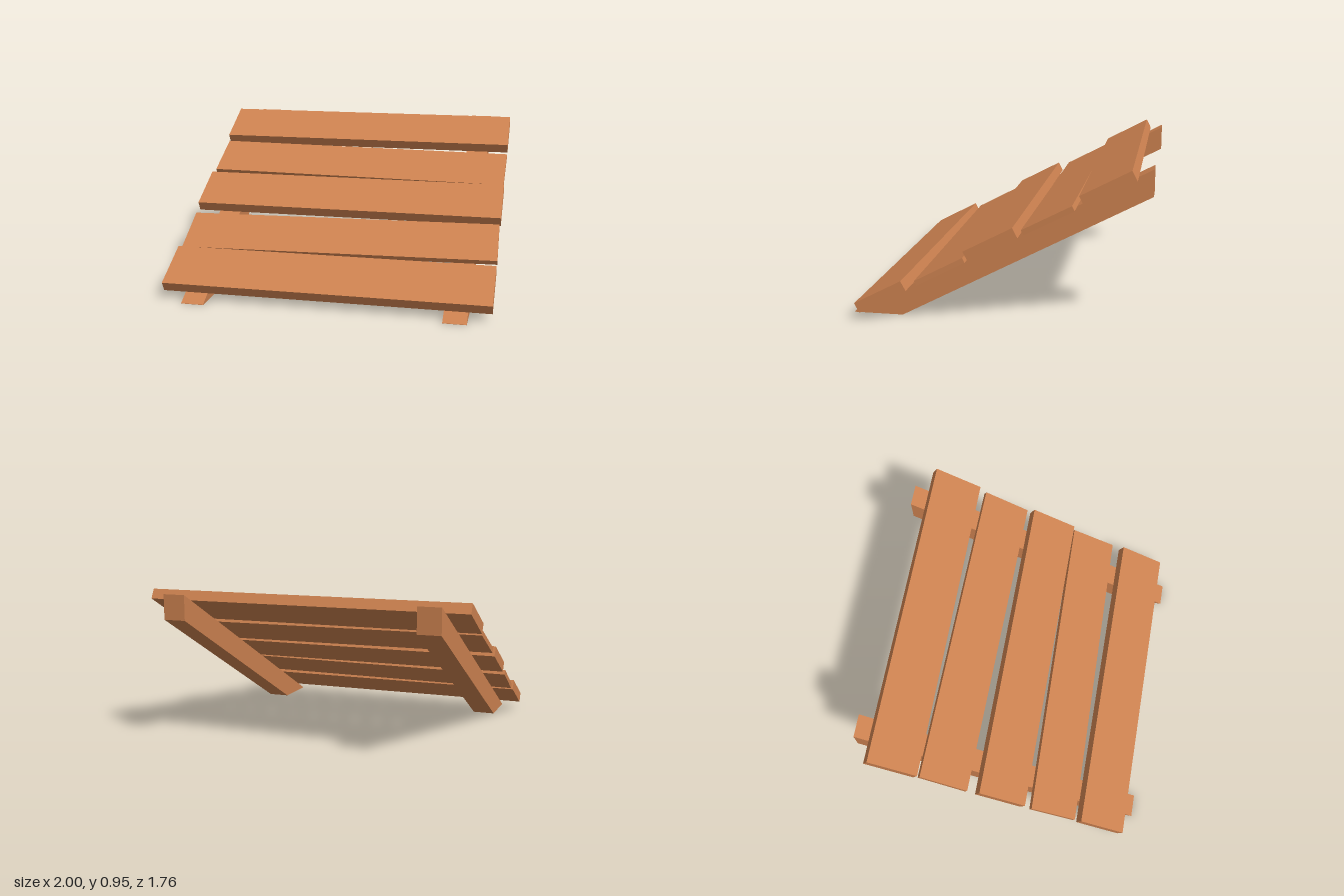
import * as THREE from 'three';

export function createModel() {
  const group = new THREE.Group();
  const wood = new THREE.MeshStandardMaterial({ color: 0xcd8250, flatShading: true });

  // Two sloping rails: side profile in (z, y), cut flat at the foot and plumb at the top
  const profile = new THREE.Shape([[0.88, 0], [0.88, 0.002], [-0.88, 0.93], [-0.88, 0.775], [0.58, 0]]
    .map(([z, y]) => new THREE.Vector2(-z, y)));
  const railWidth = 0.14;
  const railGeometry = new THREE.ExtrudeGeometry(profile, { depth: railWidth, bevelEnabled: false });
  railGeometry.translate(0, 0, -railWidth / 2);
  railGeometry.rotateY(Math.PI / 2); // profile x becomes -z, depth becomes x
  for (const side of [-1, 1]) {
    const rail = new THREE.Mesh(railGeometry, wood);
    rail.name = side > 0 ? 'leftRail' : 'rightRail';
    rail.position.x = side * 0.79;
    group.add(rail);
  }

  // Planks lie on the slope; thin ones sit slightly askew
  const deck = new THREE.Group();
  deck.name = 'planks';
  deck.position.y = 0.469;
  deck.rotation.x = Math.atan2(0.928, 1.76);
  group.add(deck);
  const planks = [ // distance down the slope, thickness, skew
    [0.743, 0.065, 0],
    [0.369, 0.032, 0.022],
    [0.003, 0.065, 0],
    [-0.372, 0.032, -0.016],
    [-0.738, 0.065, 0],
  ];
  planks.forEach(([s, thickness, skew], i) => {
    const length = skew ? 1.994 : 2;
    const plank = new THREE.Mesh(new THREE.BoxGeometry(length, thickness, 0.322), wood);
    plank.name = `plank${i + 1}`;
    plank.position.set(0, thickness / 2, s);
    plank.rotation.y = skew;
    deck.add(plank);
  });

  return group;
}
